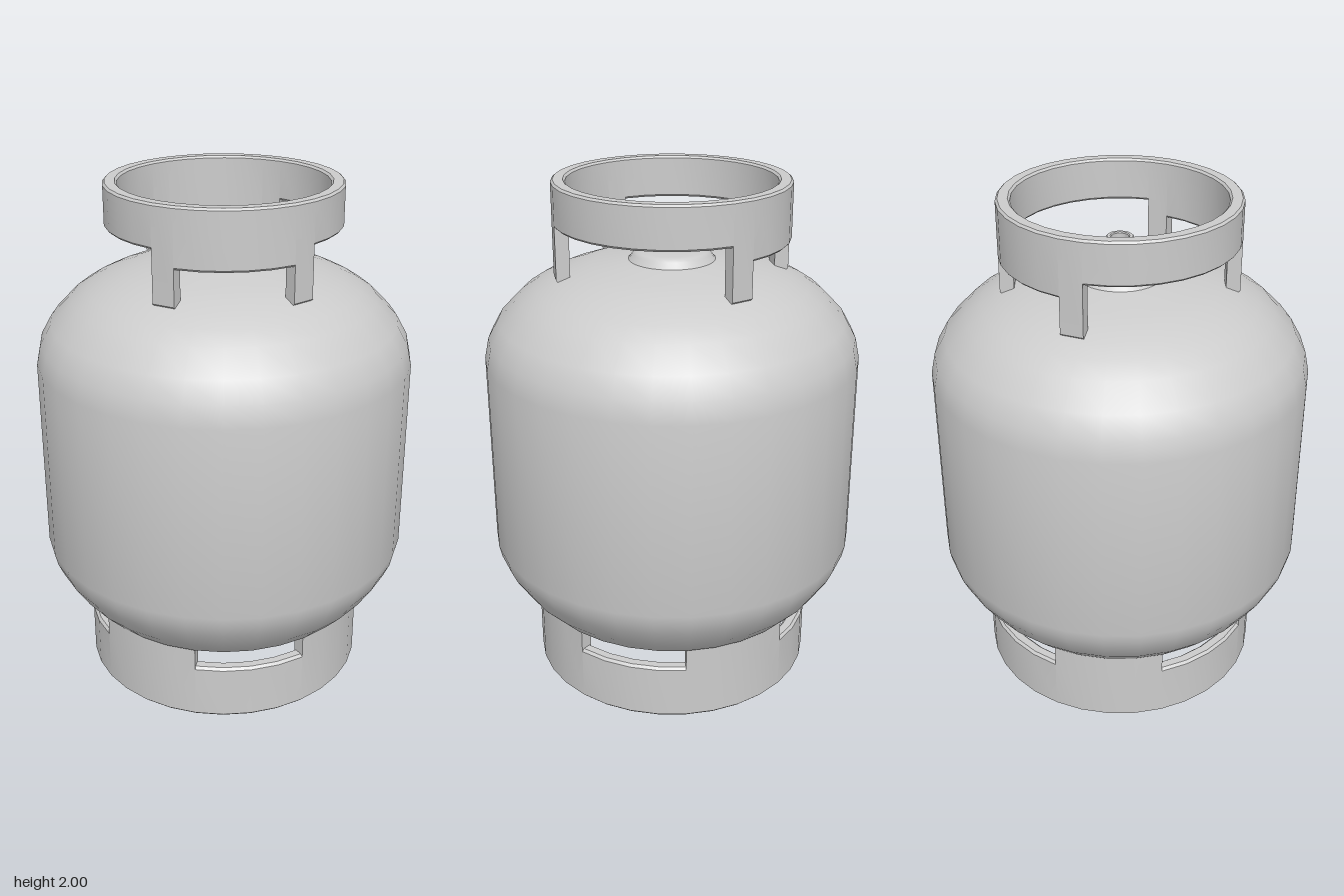
import * as THREE from 'three';
import { toCreasedNormals } from 'three/addons/utils/BufferGeometryUtils.js';

const SEGMENTS = 32;
const material = new THREE.MeshStandardMaterial({ color: 0xcccccc });

function addMesh(group, name, geometry, crease) {
  const mesh = new THREE.Mesh(toCreasedNormals(geometry, crease), material);
  mesh.name = name;
  group.add(mesh);
}

// Turned part from [radius, height] points, listed bottom to top
function turned(points) {
  return new THREE.LatheGeometry(points.map(([r, y]) => new THREE.Vector2(r, y)), SEGMENTS);
}

// Round wall with bevelled edges; span(i) gives [bottom, top] of each segment
function ringWall(inner, outer, bevel, span) {
  const positions = [];
  const section = ([lo, hi]) => [
    [inner + bevel, lo], [outer - bevel, lo], [outer, lo + bevel], [outer, hi - bevel],
    [outer - bevel, hi], [inner + bevel, hi], [inner, hi - bevel], [inner, lo + bevel],
  ];
  const place = ([r, y], i) => {
    const a = (i / SEGMENTS) * Math.PI * 2;
    return [r * Math.cos(a), y, r * Math.sin(a)];
  };
  const tri = (a, b, c) => positions.push(...a, ...b, ...c);
  const at = (i) => span((i + SEGMENTS) % SEGMENTS);
  const taller = (a, b) => a[0] < b[0] || a[1] > b[1];
  for (let i = 0; i < SEGMENTS; i++) {
    const s = section(at(i));
    s.forEach((p, j) => {
      const q = s[(j + 1) % s.length];
      const [A, B, C, D] = [place(p, i), place(q, i), place(q, i + 1), place(p, i + 1)];
      tri(A, B, C);
      tri(A, C, D);
    });
    // End faces where the neighbouring segment is shorter
    for (let j = 1; j < s.length - 1; j++) {
      if (taller(at(i), at(i + 1))) tri(place(s[0], i + 1), place(s[j], i + 1), place(s[j + 1], i + 1));
      if (taller(at(i), at(i - 1))) tri(place(s[0], i), place(s[j + 1], i), place(s[j], i));
    }
  }
  const geometry = new THREE.BufferGeometry();
  geometry.setAttribute('position', new THREE.Float32BufferAttribute(positions, 3));
  return geometry;
}

export function createModel() {
  const group = new THREE.Group();
  group.name = 'gasCylinder';

  // Tank with rounded shoulders, flat underside and a raised collar on top
  addMesh(group, 'tank', turned([
    [0, 0.3], [0.535, 0.3], [0.57, 0.315], [0.635, 0.385], [0.69, 0.47], [0.712, 0.52], [0.722, 0.565],
    [0.722, 1.32], [0.705, 1.4], [0.663, 1.475], [0.58, 1.56], [0.52, 1.6], [0.455, 1.632],
    [0.38, 1.658], [0.307, 1.675], [0.165, 1.695],
  ]), 0.7);
  addMesh(group, 'collar', turned([
    [0.175, 1.685], [0.162, 1.697], [0.148, 1.717], [0.138, 1.727], [0.122, 1.731], [0, 1.731],
  ]), 0.8);

  // Hollow valve stem
  addMesh(group, 'valve', turned([
    [0.043, 1.72], [0.043, 1.815], [0.051, 1.828], [0.051, 1.84], [0.047, 1.844],
    [0.036, 1.844], [0.033, 1.84], [0.033, 1.8], [0, 1.8],
  ]), 0.5);

  // Handle ring on four legs, deeper at the front and back than at the sides
  const legs = [5, 11, 21, 27];
  addMesh(group, 'handleRing', ringWall(0.393, 0.446, 0.008, (i) => {
    if (legs.includes(i)) return [1.635, 2];
    return [i % 16 > 5 && i % 16 < 11 ? 1.777 : 1.838, 2];
  }), 0.5);

  // Foot ring with four slots under the tank
  addMesh(group, 'footRing', ringWall(0.507, 0.558, 0.01, (i) => (
    [0, i % 8 >= 2 && i % 8 <= 5 ? 0.318 : 0.226]
  )), 0.5);

  return group;
}
